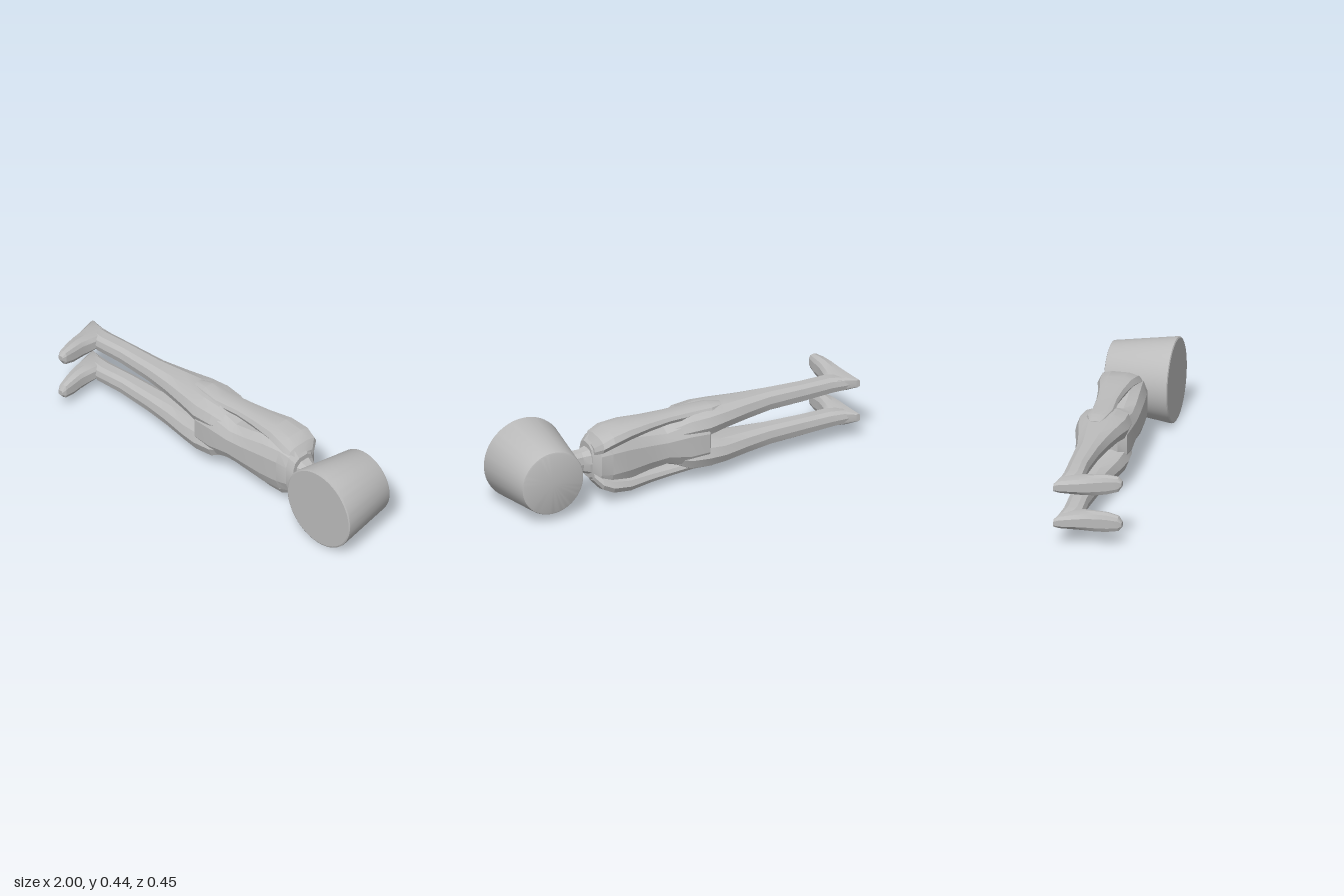
import * as THREE from 'three';
import { toCreasedNormals } from 'three/addons/utils/BufferGeometryUtils.js';

const MID = 0.222; // height of the body's plane of symmetry

// Skin rings [t, a0, a1, b0, b1] along an axis; 'x': a=y, b=z / 'z': a=x, b=y
function loft(axis, rings, sides = 10, power = 0.75) {
  const pos = [], index = [];
  const put = (t, a, b) => (axis === 'x' ? pos.push(t, a, b) : pos.push(a, b, t));
  const bend = (v) => Math.sign(v) * Math.abs(v) ** power;
  for (const [t, a0, a1, b0, b1] of rings) {
    for (let i = 0; i < sides; i++) {
      const q = ((i + 0.5) / sides) * Math.PI * 2;
      put(t, (a0 + a1) / 2 + bend(Math.cos(q)) * (a1 - a0) / 2,
        (b0 + b1) / 2 + bend(Math.sin(q)) * (b1 - b0) / 2);
    }
  }
  const last = rings.length - 1, tip = rings.length * sides;
  for (const r of [rings[0], rings[last]]) put(r[0], (r[1] + r[2]) / 2, (r[3] + r[4]) / 2);
  for (let i = 0; i < sides; i++) {
    const j = (i + 1) % sides;
    for (let k = 0; k < last; k++) {
      const p = k * sides, n = p + sides;
      index.push(p + i, p + j, n + j, p + i, n + j, n + i);
    }
    index.push(tip, j, i, tip + 1, last * sides + i, last * sides + j);
  }
  const g = new THREE.BufferGeometry();
  g.setAttribute('position', new THREE.Float32BufferAttribute(pos, 3));
  g.setIndex(index);
  return toCreasedNormals(g, 0.35);
}

export function createModel() {
  const model = new THREE.Group();
  const grey = new THREE.MeshStandardMaterial({ color: 0xbcbcbc });
  grey.name = 'grey';
  const add = (name, geometry) => {
    const mesh = new THREE.Mesh(geometry, grey);
    mesh.name = name;
    model.add(mesh);
    return mesh;
  };

  // Bucket-shaped head: tapered drum with softened rims, axis along z
  const profile = [[0, -0.226], [0.162, -0.226], [0.169, -0.223], [0.172, -0.216],
    [0.218, 0.1], [0.217, 0.108], [0.21, 0.112], [0, 0.112]]
    .map(([r, h]) => new THREE.Vector2(r, h));
  const drum = new THREE.LatheGeometry(profile, 64);
  drum.rotateX(Math.PI / 2);
  drum.translate(0.782, MID, 0);
  add('head', toCreasedNormals(drum, 0.5));

  // Neck, flared at both ends
  add('neck', loft('x', [
    [0.46, 0.14, 0.304, -0.14, 0.0],
    [0.52, 0.155, 0.289, -0.125, -0.005],
    [0.55, 0.165, 0.279, -0.11, -0.015],
    [0.63, 0.162, 0.282, -0.12, -0.01],
  ]));

  // Torso from crotch to shoulders, symmetric about MID
  const torso = [
    [-0.15, 0.075, -0.13, 0.03], [-0.12, 0.13, -0.188, 0.072], [-0.02, 0.14, -0.185, 0.077],
    [0.1, 0.105, -0.165, 0.07], [0.2, 0.12, -0.165, 0.066], [0.32, 0.145, -0.175, 0.058],
    [0.42, 0.148, -0.18, 0.046], [0.48, 0.13, -0.17, 0.035], [0.512, 0.095, -0.13, 0.015],
  ];
  add('torso', loft('x', torso.map(([x, h, z0, z1]) => [x, MID - h, MID + h, z0, z1]), 12, 0.7));

  // Limb ranges are offsets from MID; the second side mirrors the first
  const arm = [
    [-0.23, 0.13, 0.158, -0.1, -0.04], [-0.16, 0.115, 0.17, -0.13, -0.02],
    [-0.06, 0.115, 0.167, -0.125, -0.01], [0.08, 0.118, 0.172, -0.135, -0.02],
    [0.2, 0.11, 0.176, -0.155, -0.015], [0.32, 0.1, 0.182, -0.185, 0.0],
    [0.42, 0.08, 0.168, -0.198, 0.015], [0.475, 0.06, 0.14, -0.188, 0.01],
    [0.505, 0.04, 0.1, -0.14, -0.01],
  ];
  const leg = [
    [-0.975, 0.075, 0.112, -0.094, -0.05], [-0.93, 0.055, 0.13, -0.092, 0.0],
    [-0.85, 0.05, 0.138, -0.087, 0.02], [-0.7, 0.045, 0.142, -0.095, 0.01],
    [-0.5, 0.042, 0.148, -0.105, 0.019], [-0.36, 0.036, 0.152, -0.135, 0.036],
    [-0.22, 0.03, 0.156, -0.172, 0.062], [-0.12, 0.012, 0.158, -0.188, 0.079],
    [-0.02, 0.01, 0.15, -0.18, 0.072], [0.08, 0.02, 0.1, -0.14, 0.03],
  ];
  const foot = [
    [-0.1, -1.0, -0.975, 0.075, 0.115], [-0.075, -0.995, -0.87, 0.06, 0.13],
    [0.0, -0.976, -0.855, 0.05, 0.138], [0.04, -0.965, -0.862, 0.046, 0.142],
    [0.1, -0.95, -0.87, 0.045, 0.149], [0.155, -0.936, -0.868, 0.05, 0.151],
    [0.21, -0.922, -0.872, 0.066, 0.144], [0.229, -0.912, -0.882, 0.095, 0.122],
  ];
  for (const s of [1, -1]) {
    const side = s > 0 ? 'upper' : 'lower';
    const span = (p, q) => (s > 0 ? [MID + p, MID + q] : [MID - q, MID - p]);
    const along = (rings) => loft('x', rings.map(([x, p, q, z0, z1]) => [x, ...span(p, q), z0, z1]));
    add(side + 'Arm', along(arm));
    add(side + 'Leg', along(leg));
    add(side + 'Foot', loft('z', foot.map(([z, x0, x1, p, q]) => [z, x0, x1, ...span(p, q)]), 10, 0.65));
  }
  return model;
}
